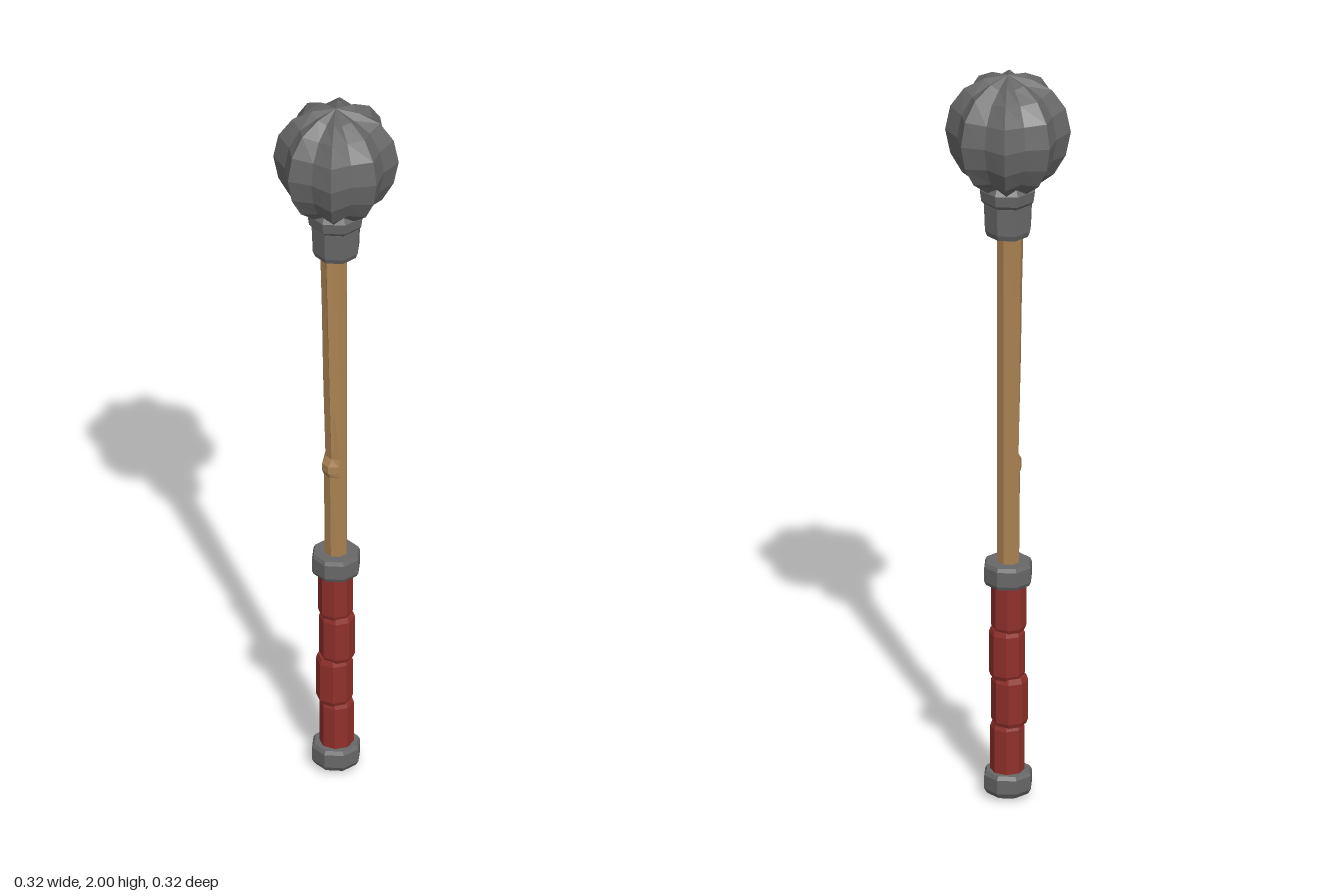
import * as THREE from 'three';

const flat = (name, color) => {
  const m = new THREE.MeshStandardMaterial({ color, flatShading: true });
  m.name = name;
  return m;
};

// Joins cross-sections (bottom to top) of equal point count and caps both ends.
function loft(rings) {
  const pos = [];
  const tri = (a, b, c) => pos.push(...a, ...b, ...c);
  const n = rings[0].length;
  for (let k = 0; k < rings.length - 1; k++) {
    for (let i = 0; i < n; i++) {
      const j = (i + 1) % n;
      const a = rings[k][i], b = rings[k][j], c = rings[k + 1][j], d = rings[k + 1][i];
      tri(a, d, c);
      tri(a, c, b);
    }
  }
  const middle = (r) => [0, 1, 2].map((q) => r.reduce((s, p) => s + p[q], 0) / n);
  const low = rings[0], high = rings[rings.length - 1];
  for (let i = 0; i < n; i++) {
    const j = (i + 1) % n;
    tri(low[i], low[j], middle(low));
    tri(high[j], high[i], middle(high));
  }
  const g = new THREE.BufferGeometry();
  g.setAttribute('position', new THREE.Float32BufferAttribute(pos, 3));
  g.computeVertexNormals();
  return g;
}

// Regular polygon ring; turn is in radians.
const ring = (y, r, sides = 8, turn = 0, x = 0, z = 0) =>
  Array.from({ length: sides }, (_, i) => {
    const a = turn + (i / sides) * Math.PI * 2;
    return [x + Math.cos(a) * r, y, z + Math.sin(a) * r];
  });

export function createModel() {
  const steel = flat('steel', 0x686868);
  const wood = flat('wood', 0xab8353);
  const leather = flat('red leather', 0x90302a);
  const model = new THREE.Group();
  const add = (name, rings, material) => {
    const mesh = new THREE.Mesh(loft(rings), material);
    mesh.name = name;
    model.add(mesh);
  };
  const half = Math.PI / 8;

  // Ribbed head: eight ridges with valleys between them
  const profile = [[0.055, 1.68], [0.075, 1.695], [0.117, 1.727], [0.147, 1.78],
    [0.16, 1.845], [0.147, 1.91], [0.112, 1.96], [0.06, 1.988], [0.001, 2]];
  add('head', profile.map(([r, y]) =>
    Array.from({ length: 16 }, (_, i) => {
      const a = (i / 16) * Math.PI * 2, valley = i % 2;
      const rr = valley ? r * 0.855 : r;
      const yy = valley && r > 0.01 ? 1.845 + (y - 1.845) * 0.93 : y;
      return [Math.cos(a) * rr, yy, Math.sin(a) * rr];
    })), steel);

  // Stepped collar under the head
  add('upperCollar', [ring(1.645, 0.06, 8, half), ring(1.66, 0.072, 8, half),
    ring(1.69, 0.076, 8, half), ring(1.715, 0.06, 8, half)], steel);
  add('lowerCollar', [ring(1.56, 0.056, 8, half), ring(1.575, 0.062, 8, half),
    ring(1.65, 0.065, 8, half)], steel);

  // Wooden shaft, thickening towards the front at the top, with a chip in front
  const shaft = (y, front, back = 0.026, w = 0.029) =>
    ring(y, 1, 8, half).map(([x, , z]) =>
      [x * w * 1.08, y, z * 1.08 * (z > 0 ? front : back)]);
  add('shaft', [shaft(0.62, 0.027), shaft(0.89, 0.03), shaft(0.905, 0.036),
    shaft(0.925, 0.036), shaft(0.945, 0.025), shaft(1.2, 0.033),
    shaft(1.4, 0.037), shaft(1.58, 0.042, 0.027, 0.031)], wood);

  // Raised splinter along the front of the shaft
  const splinter = (y, w, z) => [[0.016 + w, y, z - 0.012], [0.016, y, z],
    [0.016 - w, y, z - 0.004], [0.016 - w, y, z - 0.012]];
  add('splinter', [splinter(0.96, 0.001, 0.029), splinter(1.2, 0.006, 0.036),
    splinter(1.57, 0.008, 0.046)], wood);

  // Leather grip: four slightly shifted wraps
  const wraps = [[0.06, 0.205, 0.001, 0.044], [0.2, 0.335, -0.003, 0.047],
    [0.33, 0.465, 0.002, 0.046], [0.46, 0.61, -0.001, 0.045]];
  wraps.forEach(([low, high, shift, r], i) => {
    add('gripWrap' + (i + 1), [ring(low, r - 0.005, 8, 0, shift, -shift),
      ring(low + 0.012, r, 8, 0, shift, -shift),
      ring(high - 0.014, r, 8, 0, shift, -shift),
      ring(high, r - 0.005, 8, 0, shift, -shift)], leather);
  });

  // Steel rings at both ends of the grip
  add('upperRing', [ring(0.59, 0.059, 8, half), ring(0.6, 0.064, 8, half),
    ring(0.64, 0.064, 8, half), ring(0.65, 0.059, 8, half)], steel);
  add('pommel', [ring(0, 0.03, 8, half), ring(0.012, 0.056, 8, half),
    ring(0.025, 0.064, 8, half), ring(0.062, 0.064, 8, half),
    ring(0.072, 0.058, 8, half)], steel);
  return model;
}
